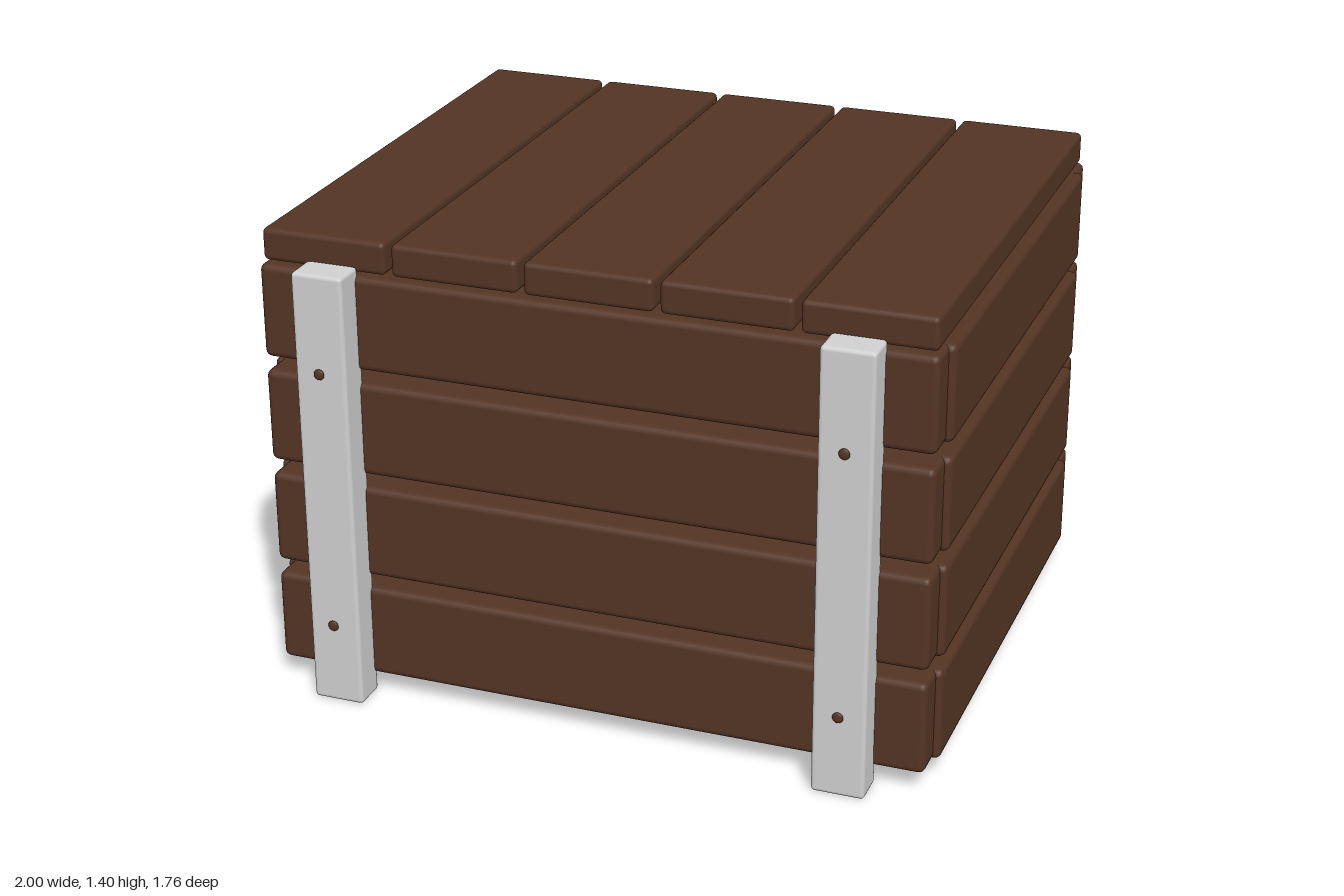
import * as THREE from 'three';
import { RoundedBoxGeometry } from 'three/addons/geometries/RoundedBoxGeometry.js';

export function createModel() {
  const crate = new THREE.Group();
  crate.name = 'plankCrate';

  const wood = new THREE.MeshStandardMaterial({ color: 0x543424 });
  wood.name = 'dark brown wood';
  const paint = new THREE.MeshStandardMaterial({ color: 0xd0d0d0 });
  paint.name = 'pale grey';

  // Softly bevelled block given by its extents on each axis
  function block(name, material, [x0, x1], [y0, y1], [z0, z1], bevel) {
    const geometry = new RoundedBoxGeometry(x1 - x0, y1 - y0, z1 - z0, 2, bevel);
    const mesh = new THREE.Mesh(geometry, material);
    mesh.position.set((x0 + x1) / 2, (y0 + y1) / 2, (z0 + z1) / 2);
    mesh.name = name;
    crate.add(mesh);
  }

  // Four courses of wall planks around an open bottom
  for (let i = 0; i < 4; i++) {
    const y = [0.06 + i * 0.32, 0.34 + i * 0.32];
    block('frontPlank', wood, [-0.98, 0.98], y, [0.645, 0.78], 0.02);
    block('backPlank', wood, [-0.98, 0.98], y, [-0.88, -0.75], 0.02);
    block('leftPlank', wood, [0.87, 1], y, [-0.785, 0.69], 0.02);
    block('rightPlank', wood, [-1, -0.87], y, [-0.785, 0.69], 0.02);
  }

  // Lid planks running front to back
  for (let i = 0; i < 5; i++) {
    const x = -0.002 + (i - 2) * 0.393;
    block('lidPlank', wood, [x - 0.187, x + 0.187], [1.305, 1.4], [-0.862, 0.76], 0.015);
  }

  // Front posts, each with two flattened nail heads
  const nailGeometry = new THREE.SphereGeometry(0.016, 16, 10);
  nailGeometry.scale(1, 1, 0.4);
  for (const side of [-1, 1]) {
    const x = side * 0.759;
    block('frontPost', paint, [x - 0.077, x + 0.077], [0, 1.325], [0.76, 0.866], 0.012);
    for (const y of [0.25, 1.035]) {
      const nail = new THREE.Mesh(nailGeometry, wood);
      nail.name = 'nailHead';
      nail.position.set(x, y, 0.874);
      crate.add(nail);
    }
  }

  return crate;
}
